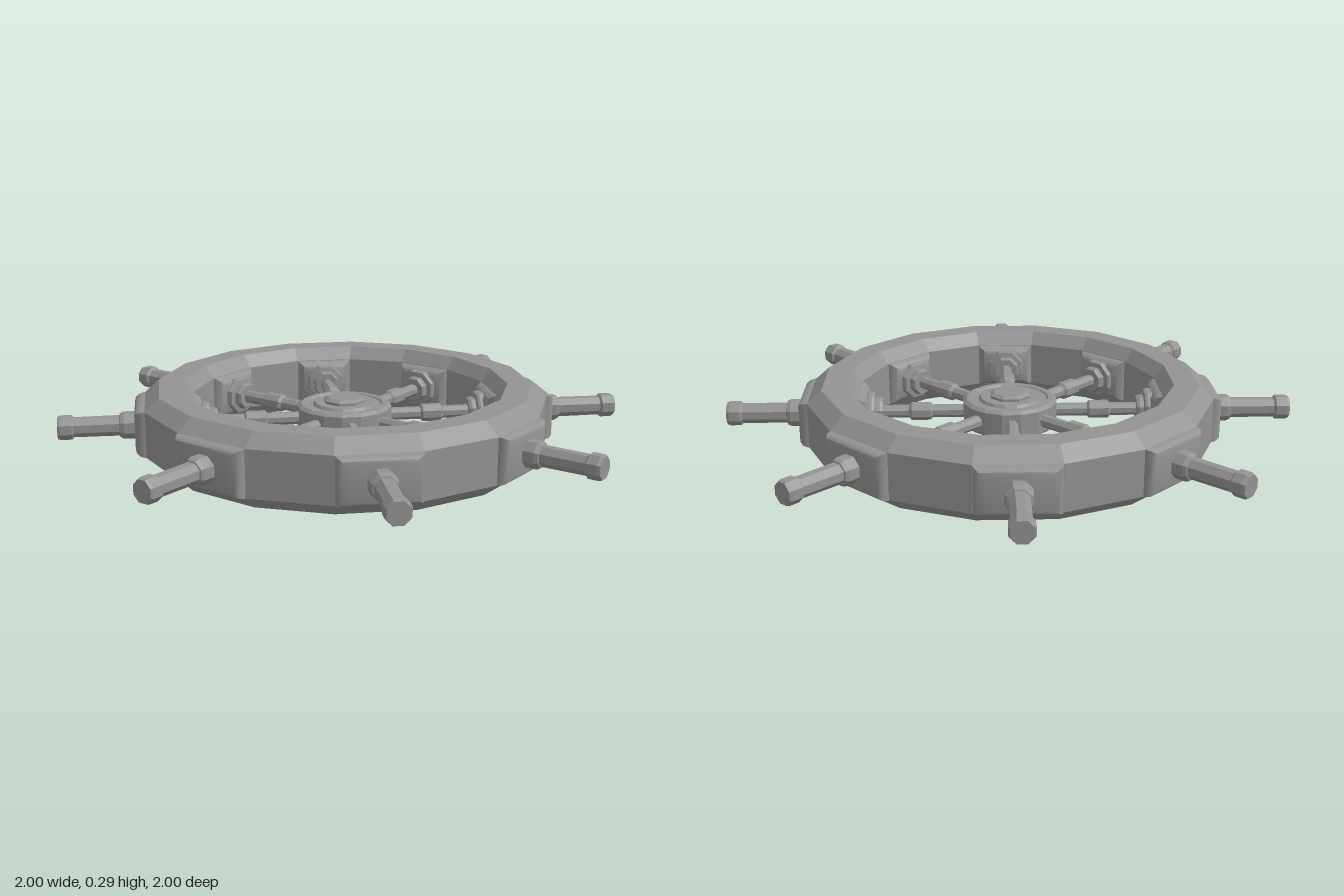
import * as THREE from 'three';
import { toCreasedNormals } from 'three/addons/utils/BufferGeometryUtils.js';

const color = 0x939393;
const faceted = new THREE.MeshStandardMaterial({ color, flatShading: true, side: THREE.DoubleSide });
const smooth = new THREE.MeshStandardMaterial({ color, side: THREE.DoubleSide });

const lathe = (profile, sides, turn) =>
  new THREE.LatheGeometry(profile.map(([r, h]) => new THREE.Vector2(r, h)), sides, turn);

// Faceted solid of revolution about y; profile is a list of [radius, height] going upwards
function turned(name, profile, sides) {
  const geometry = lathe(profile, sides, Math.PI / sides).toNonIndexed();
  geometry.computeVertexNormals();
  const mesh = new THREE.Mesh(geometry, faceted);
  mesh.name = name;
  return mesh;
}

// Four-sided block along y with softly rounded steps; steps are [width factor, height]
function pad(name, width, depth, steps) {
  const profile = steps.map(([f, h]) => [f * Math.SQRT1_2, h]);
  const geometry = lathe([[0, steps[0][1]], ...profile, [0, steps.at(-1)[1]]], 4, Math.PI / 4);
  geometry.scale(width, 1, depth);
  const mesh = new THREE.Mesh(toCreasedNormals(geometry, 0.9), smooth);
  mesh.name = name;
  return mesh;
}

// One spoke, standing along y from the hub to the end of the handle
function createSpoke() {
  const spoke = new THREE.Group();
  spoke.name = 'spoke';
  spoke.add(
    turned('innerSpoke', [
      [0.023, 0.1], [0.023, 0.275], [0.032, 0.283], [0.032, 0.35], [0.023, 0.358],
      [0.023, 0.45], [0.045, 0.45], [0.05, 0.46], [0.05, 0.475],
      [0.068, 0.478], [0.072, 0.487], [0.072, 0.5], [0.06, 0.52],
    ], 8),
    pad('innerPad', 0.21, 0.16, [[0.62, 0.495], [0.8, 0.505], [0.94, 0.52], [1, 0.535], [1, 0.56]]),
    pad('outerPad', 0.275, 0.16, [[1, 0.66], [1, 0.705], [0.95, 0.722], [0.86, 0.732], [0.74, 0.736]]),
    turned('handle', [
      [0.048, 0.72], [0.048, 0.775], [0.042, 0.788], [0.036, 0.79], [0.035, 0.945],
      [0.043, 0.952], [0.043, 0.99], [0.039, 1], [0, 1],
    ], 8),
  );
  return spoke;
}

export function createModel() {
  const model = new THREE.Group();
  model.name = 'shipWheel';
  const wheel = new THREE.Group();
  wheel.name = 'wheel';
  wheel.rotation.y = -0.022;
  model.add(wheel);

  // Sixteen-sided rim with chamfered edges, flats centred on the spokes
  const k = 1 / Math.cos(Math.PI / 16);
  const rim = [
    [0.65, 0.04], [0.7, 0.085], [0.7, 0.245], [0.65, 0.29],
    [0.565, 0.29], [0.53, 0.245], [0.53, 0.085], [0.565, 0.04], [0.65, 0.04],
  ].map(([r, h]) => [r * k, h]);
  wheel.add(turned('rim', rim, 16));

  // Stepped hub, the same above and below
  const steps = [[0, 0.054], [0.105, 0.054], [0.112, 0.044], [0.132, 0.044], [0.138, 0.05], [0.155, 0.05], [0.168, 0.04]];
  const below = steps.map(([r, d]) => [r, 0.165 - d]);
  const above = steps.map(([r, d]) => [r, 0.165 + d]).reverse();
  wheel.add(turned('hub', [...below, ...above], 16));

  // Axle below the hub and a cap on top
  wheel.add(turned('axle', [[0, 0], [0.037, 0], [0.037, 0.165]], 8));
  wheel.add(turned('hubCap', [[0.075, 0.2], [0.075, 0.228], [0.06, 0.237], [0, 0.237]], 8));

  // Eight spokes with handles
  for (let i = 0; i < 8; i++) {
    const arm = new THREE.Group();
    arm.name = 'spokeArm';
    const spoke = createSpoke();
    spoke.rotation.x = Math.PI / 2;
    arm.add(spoke);
    arm.position.y = 0.165;
    arm.rotation.y = (i * Math.PI) / 4;
    wheel.add(arm);
  }
  return model;
}
